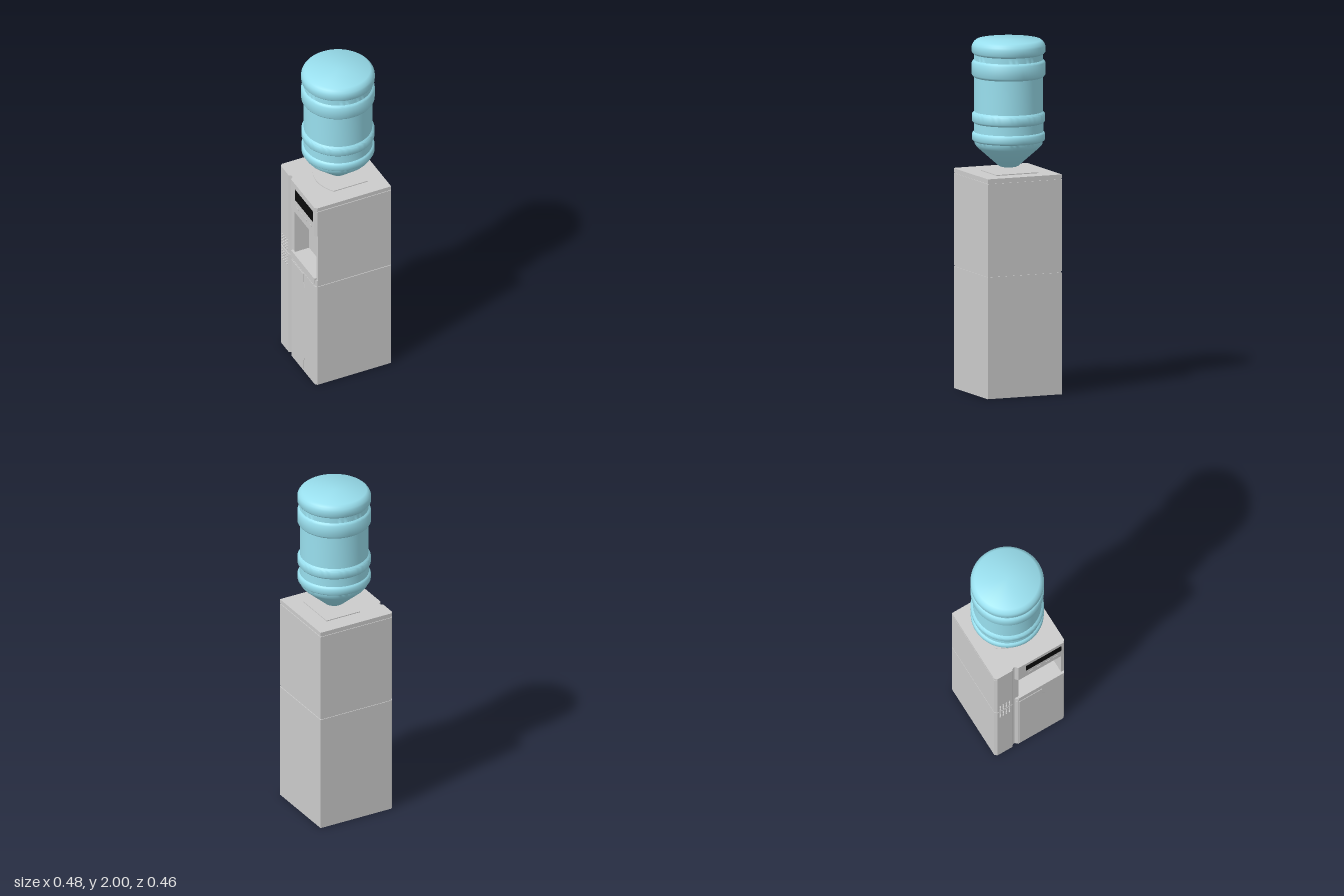
import * as THREE from 'three';
import { toCreasedNormals } from 'three/addons/utils/BufferGeometryUtils.js';

const grey = new THREE.MeshStandardMaterial({ color: 0xcccccc });
const black = new THREE.MeshStandardMaterial({ color: 0x0a0a0a });
const teal = new THREE.MeshStandardMaterial({ color: 0x99dfee });

export function createModel() {
  const model = new THREE.Group();

  function add(name, geometry, material = grey, parent = model) {
    const mesh = new THREE.Mesh(geometry, material);
    mesh.name = name;
    parent.add(mesh);
    return mesh;
  }

  // Upright prism from an [x, z] outline
  function prism(name, outline, y0, y1) {
    const shape = new THREE.Shape(outline.map(([x, z]) => new THREE.Vector2(x, -z)));
    const geo = new THREE.ExtrudeGeometry(shape, { depth: y1 - y0, bevelEnabled: false });
    geo.rotateX(-Math.PI / 2).translate(0, y0, 0);
    return add(name, geo);
  }

  // Box given by its limits on each axis
  function block(name, [x0, x1], [y0, y1], [z0, z1], material = grey, parent = model) {
    const geo = new THREE.BoxGeometry(x1 - x0, y1 - y0, z1 - z0);
    geo.translate((x0 + x1) / 2, (y0 + y1) / 2, (z0 + z1) / 2);
    return add(name, geo, material, parent);
  }

  // Cabinet outline: plain sides, vent strip and groove, then the service panel on -x
  const shell = [
    [0.237, 0.228], [0.237, -0.23], [-0.222, -0.23], [-0.235, -0.217],
    [-0.235, -0.118], [-0.222, -0.107], [-0.222, -0.095],
  ];
  const panel = (x) => [[x, -0.08], [x, 0.215], [-0.225, 0.228]];
  const full = [...shell, ...panel(-0.239)];
  const door = [...shell, ...panel(-0.236)];
  const alcove = [
    ...shell, [-0.222, -0.07], [-0.13, -0.07], [-0.13, 0.21], [-0.222, 0.21], [-0.222, 0.228],
  ];
  const inset = (outline, xMin) => outline.map(([x, z]) => [
    THREE.MathUtils.clamp(x, xMin, 0.233), THREE.MathUtils.clamp(z, -0.226, 0.224),
  ]);

  // Cabinet, stacked from the floor up
  prism('lowerCabinet', door, 0, 0.692);
  prism('middleSeam', inset(door, -0.23), 0.692, 0.7);
  prism('trayLevel', full, 0.7, 0.735);
  prism('alcoveWalls', alcove, 0.735, 1.05);
  prism('controlHead', full, 1.05, 1.222);
  prism('lidSeam', inset(full, -0.239), 1.222, 1.227);
  prism('lid', full, 1.227, 1.25);

  // Raised top plate, bowed on the service side
  const plate = [[0.14, -0.13], [0.14, 0.13]];
  for (let i = 0; i <= 16; i++) {
    const t = 1 - i / 8;
    plate.push([-0.075 - 0.045 * (1 - t * t), 0.13 * t]);
  }
  prism('topPlate', plate, 1.25, 1.255);

  // Control panel: display and a row of buttons
  block('display', [-0.24, -0.235], [1.14, 1.213], [-0.03, 0.2], black);
  for (let i = 0; i < 4; i++) {
    const z = 0.0 + i * 0.055;
    block('button', [-0.241, -0.235], [1.09, 1.102], [z - 0.014, z + 0.014]);
  }

  // Drip tray lip in front of the alcove
  block('dripTrayLip', [-0.24, -0.226], [0.715, 0.75], [-0.078, 0.218]);

  // Raised door panel with a stepped grip edge
  const doorShape = new THREE.Shape([
    [-0.075, 0.015], [0.075, 0.015], [0.075, 0.07], [0.095, 0.1],
    [0.095, 0.6], [0.075, 0.63], [0.075, 0.685], [-0.075, 0.685],
  ].map(([z, y]) => new THREE.Vector2(z, y)));
  const doorGeo = new THREE.ExtrudeGeometry(doorShape, { depth: 0.004, bevelEnabled: false });
  doorGeo.rotateY(-Math.PI / 2).translate(-0.235, 0, 0);
  add('doorPanel', doorGeo);

  // Two grids of vent studs on the narrow strip
  const vents = new THREE.Group();
  vents.name = 'vents';
  model.add(vents);
  for (const y0 of [0.61, 0.72]) {
    for (let row = 0; row < 4; row++) {
      for (let col = 0; col < 4; col++) {
        const stud = add('ventStud', new THREE.SphereGeometry(0.006, 12, 8), grey, vents);
        stud.position.set(-0.234, y0 + row * 0.02, -0.197 + col * 0.02);
      }
    }
  }

  // Water bottle with four moulded rings
  const profile = [
    [0, 1.28], [0.045, 1.28], [0.055, 1.284], [0.175, 1.39], [0.19, 1.408], [0.193, 1.425],
    [0.201, 1.43], [0.206, 1.437], [0.206, 1.468], [0.201, 1.475], [0.195, 1.48], [0.195, 1.53],
    [0.201, 1.535], [0.206, 1.542], [0.206, 1.58], [0.201, 1.587], [0.193, 1.595], [0.193, 1.79],
    [0.201, 1.796], [0.207, 1.805], [0.207, 1.873], [0.201, 1.882], [0.194, 1.888], [0.194, 1.92],
    [0.201, 1.925], [0.207, 1.933], [0.207, 1.967], [0.203, 1.978], [0.195, 1.99], [0.183, 2], [0, 2],
  ].map(([r, y]) => new THREE.Vector2(r, y));
  const bottle = add('waterBottle', toCreasedNormals(new THREE.LatheGeometry(profile, 72), 0.7), teal);
  bottle.position.x = 0.016;

  return model;
}
